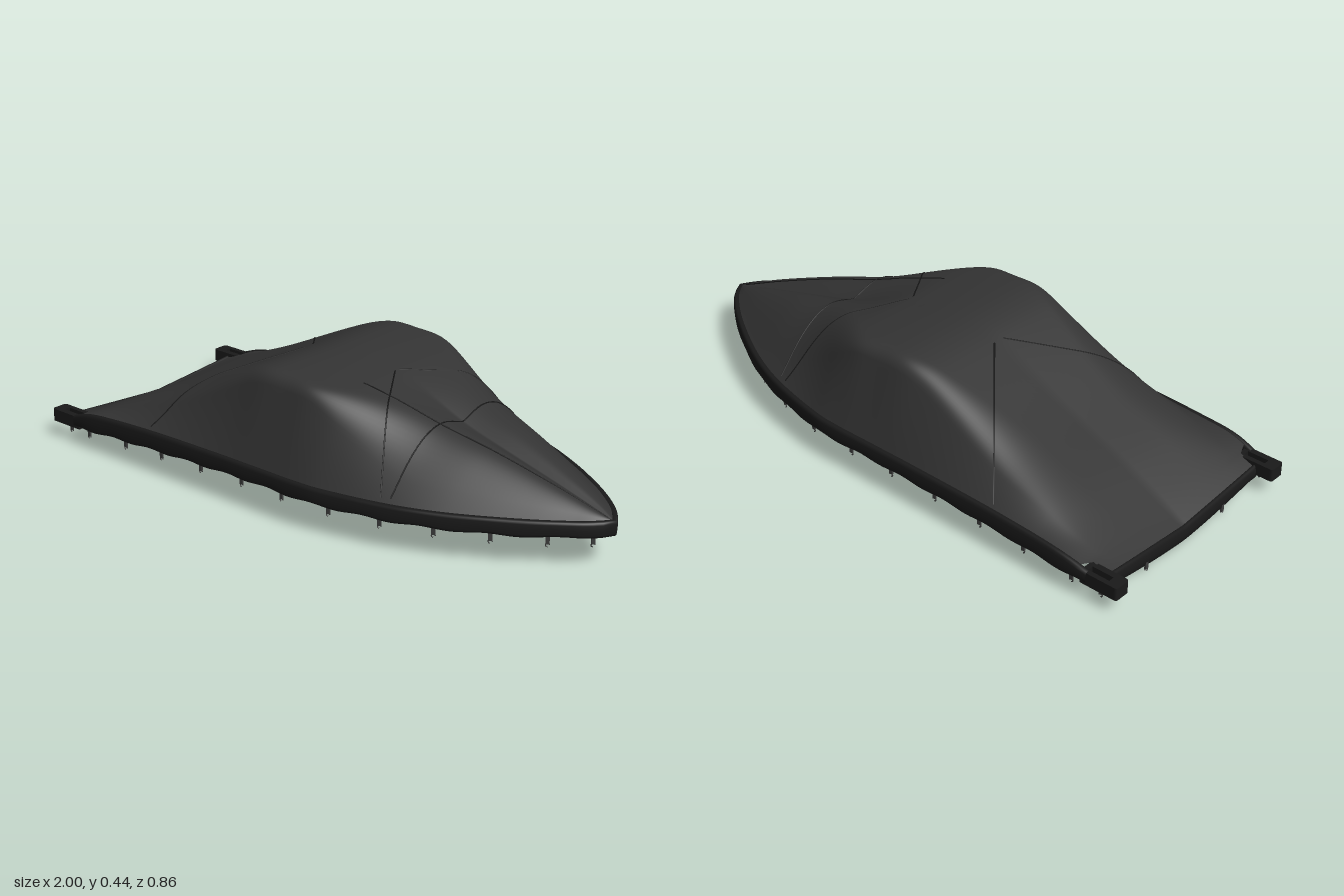
import * as THREE from 'three';

const mat = (name, color, side = THREE.FrontSide) => {
  const m = new THREE.MeshStandardMaterial({ color, side });
  m.name = name;
  return m;
};

// Stations from stern to bow: x, half width, rim height, centre height,
// shoulder half width, shoulder height, shoulder softness
const stations = [
  [-0.93, 0.40, 0.085, 0.055, 0.25, 0.075, 0.5],
  [-0.82, 0.41, 0.122, 0.115, 0.29, 0.13, 0.4],
  [-0.7, 0.41, 0.135, 0.175, 0.30, 0.188, 0.4],
  [-0.5, 0.41, 0.145, 0.262, 0.30, 0.275, 0.4],
  [-0.2, 0.41, 0.15, 0.40, 0.31, 0.407, 0.2],
  [-0.1, 0.41, 0.15, 0.43, 0.32, 0.435, 0.15],
  [0, 0.41, 0.15, 0.432, 0.32, 0.436, 0.15],
  [0.1, 0.41, 0.15, 0.42, 0.32, 0.427, 0.15],
  [0.2, 0.403, 0.15, 0.40, 0.29, 0.41, 0.3],
  [0.43, 0.352, 0.15, 0.305, 0.17, 0.36, 0.65],
  [0.6, 0.285, 0.15, 0.255, 0.11, 0.31, 0.65],
  [0.8, 0.17, 0.15, 0.20, 0.06, 0.23, 0.6],
  [0.93, 0.07, 0.148, 0.162, 0.025, 0.172, 0.5],
  [0.985, 0.004, 0.145, 0.145, 0.002, 0.146, 0.5],
];
const X0 = -0.93, X1 = 0.985;

// Smooth interpolation of one station column
function at(x, col) {
  const S = stations, n = S.length;
  let i = 0;
  while (i < n - 2 && x > S[i + 1][0]) i++;
  const slope = (a, b) => (S[b][col] - S[a][col]) / (S[b][0] - S[a][0]);
  const tangent = k => slope(Math.max(k - 1, 0), Math.min(k + 1, n - 1));
  const d = S[i + 1][0] - S[i][0];
  const t = THREE.MathUtils.clamp((x - S[i][0]) / d, 0, 1), t2 = t * t, t3 = t2 * t;
  return (2 * t3 - 3 * t2 + 1) * S[i][col] + (t3 - 2 * t2 + t) * d * tangent(i)
    + (3 * t2 - 2 * t3) * S[i + 1][col] + (t3 - t2) * d * tangent(i + 1);
}

// Half section of the cover: two straight runs joined by a rounded shoulder
function section(x, u) {
  const w = x < -0.87 ? 0.365 : at(x, 1);
  const top = new THREE.Vector2(0, at(x, 3));
  const shoulder = new THREE.Vector2(at(x, 4), at(x, 5));
  const edge = new THREE.Vector2(w, at(x, 2));
  const k = at(x, 6);
  const a = shoulder.clone().lerp(top, k), b = shoulder.clone().lerp(edge, k);
  if (u < 0.3) return top.lerp(a, u / 0.3);
  if (u > 0.7) return b.lerp(edge, (u - 0.7) / 0.3);
  const t = (u - 0.3) / 0.4;
  return a.clone().lerp(shoulder, t).lerp(shoulder.clone().lerp(b, t), t);
}

// Point on the cover above a given x and z
function onCover(x, z) {
  let lo = 0, hi = 1;
  for (let i = 0; i < 24; i++) {
    const m = (lo + hi) / 2;
    if (section(x, m).x < Math.abs(z)) lo = m; else hi = m;
  }
  return new THREE.Vector3(x, section(x, lo).y, z);
}

// Smooth surface from a grid of points
function grid(nu, nv, fn) {
  const pos = [], idx = [];
  for (let i = 0; i <= nu; i++) {
    for (let j = 0; j <= nv; j++) {
      pos.push(...fn(i / nu, j / nv));
      if (i < nu && j < nv) {
        const a = i * (nv + 1) + j, b = a + nv + 1;
        idx.push(a, a + 1, b, b, a + 1, b + 1);
      }
    }
  }
  const g = new THREE.BufferGeometry();
  g.setAttribute('position', new THREE.Float32BufferAttribute(pos, 3));
  g.setIndex(idx);
  g.computeVertexNormals();
  return g;
}

// Lower edge of the side hem
const hemBottom = x => 0.1 - 0.045 * Math.pow(Math.max(0, -x), 1.6);

export function createModel() {
  const group = new THREE.Group();
  const fabric = mat('charcoal fabric', 0x343434, THREE.DoubleSide);
  const hemMat = mat('black hem', 0x1a1a1a, THREE.DoubleSide);
  const seamMat = mat('dark stitching', 0x161616);
  const strapMat = mat('grey strap', 0x3c3c3c);
  const add = (name, geo, m, parent = group) => {
    const mesh = new THREE.Mesh(geo, m);
    mesh.name = name;
    parent.add(mesh);
    return mesh;
  };

  // Fabric cover
  add('cover', grid(110, 64, (a, b) => {
    const x = X0 + (X1 - X0) * a, t = b * 2 - 1, p = section(x, Math.abs(t));
    return [x, p.y, Math.sign(t) * p.x];
  }), fabric);

  // Hem running along one side, round the bow and back
  const path = s => {
    const x = -0.89 + (X1 + 0.89) * (1 - Math.abs(2 * s - 1));
    return new THREE.Vector2(x, Math.abs(s - 0.5) < 1e-6 ? 0 : Math.sign(0.5 - s) * at(x, 1));
  };
  add('hem', grid(200, 14, (s, v) => {
    const p = path(s), e = 0.004;
    const d = path(Math.min(s + e, 1)).sub(path(Math.max(s - e, 0))).normalize();
    const ang = v * Math.PI * 2;
    const round = q => Math.sign(q) * Math.pow(Math.abs(q), 0.6);
    const top = at(p.x, 2) + 0.003;
    const low = hemBottom(p.x) + 0.003 * Math.cos(p.x * 36);
    const out = -0.005 + 0.012 * round(Math.cos(ang));
    return [p.x + d.y * out, (top + low) / 2 + (top - low) / 2 * round(Math.sin(ang)), p.y - d.x * out];
  }), hemMat);

  // Hanging flap across the stern
  add('sternFlap', grid(48, 12, (a, v) => {
    const z = (a * 2 - 1) * 0.366, ang = v * Math.PI * 2;
    const top = onCover(X0, z).y + 0.006;
    const low = 0.003 + 0.036 * Math.pow(Math.min(1, Math.abs(z) / 0.33), 1.5);
    return [-0.933 + 0.009 * Math.cos(ang), (top + low) / 2 + (top - low) / 2 * Math.sin(ang), z];
  }), hemMat);

  // Slotted tabs at the stern corners
  const tab = new THREE.Shape();
  tab.moveTo(-0.99, 0.358).lineTo(-0.868, 0.358).lineTo(-0.868, 0.416).lineTo(-0.99, 0.416);
  tab.quadraticCurveTo(-1, 0.416, -1, 0.406).lineTo(-1, 0.368).quadraticCurveTo(-1, 0.358, -0.99, 0.358);
  const slot = new THREE.Path();
  slot.moveTo(-0.96, 0.375).lineTo(-0.96, 0.395).lineTo(-0.885, 0.395).lineTo(-0.885, 0.375).closePath();
  tab.holes.push(slot);
  const tabGeo = new THREE.ExtrudeGeometry(tab, { depth: 0.043, bevelEnabled: false });
  tabGeo.rotateX(Math.PI / 2);
  add('leftSternTab', tabGeo, hemMat).position.y = 0.1;
  const otherTab = add('rightSternTab', tabGeo, hemMat);
  otherTab.position.set(0, 0.1, -0.774);

  // Stitched seams laid on the fabric
  const seam = (name, pts) => {
    const curve = new THREE.CatmullRomCurve3(pts);
    add(name, new THREE.TubeGeometry(curve, 60, 0.0025, 5), seamMat);
  };
  const line = (x0, z0, x1, z1) => Array.from({ length: 25 }, (_, i) =>
    onCover(x0 + (x1 - x0) * i / 24, z0 + (z1 - z0) * i / 24));
  for (const side of [1, -1]) {
    seam('aftSeam', line(-0.2, 0.02 * side, -0.53, 0.40 * side));
    seam('foreSeam', line(0.17, 0.01 * side, 0.4, 0.35 * side));
  }
  seam('bowSeam', line(0.17, 0.16, 0.97, 0.004));
  seam('crossSeam', line(0.43, -0.34, 0.43, 0.34));

  // Tie-down straps with small hooks
  const strapGeo = new THREE.BoxGeometry(0.012, 0.032, 0.006);
  const hookGeo = new THREE.TorusGeometry(0.006, 0.002, 5, 10, Math.PI * 1.5);
  const strap = (x, y, z, turn) => {
    const s = new THREE.Group();
    s.name = 'tieStrap';
    add('webbing', strapGeo, strapMat, s);
    add('hook', hookGeo, strapMat, s).position.y = -0.019;
    s.position.set(x, y, z);
    s.rotation.y = turn;
    group.add(s);
  };
  const strapXs = [-0.93, -0.83, -0.65, -0.48, -0.30, -0.12, 0.05, 0.23, 0.40, 0.56, 0.71, 0.85, 0.95];
  for (const x of strapXs) {
    const turn = Math.atan2(at(x - 0.02, 1) - at(x + 0.02, 1), 0.04);
    for (const side of [1, -1]) strap(x, hemBottom(x) - 0.01, side * (at(x, 1) - 0.005), side * turn);
  }
  for (const side of [1, -1]) strap(-0.938, 0.027, side * 0.19, Math.PI / 2);

  return group;
}
